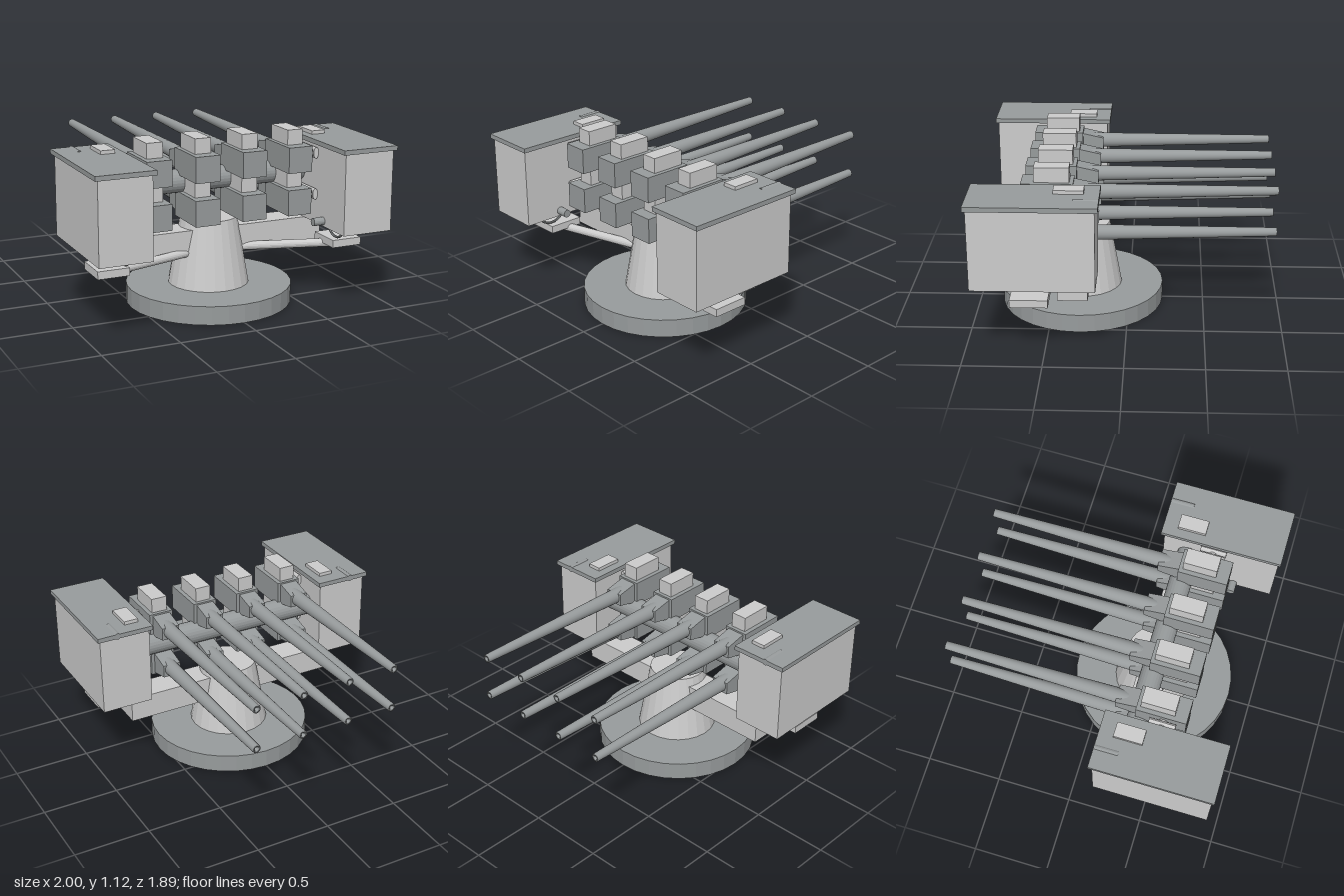
import * as THREE from 'three';

const light = new THREE.MeshStandardMaterial({ color: 0xcccccc, flatShading: true });
const dark = new THREE.MeshStandardMaterial({ color: 0x979b9c, flatShading: true });
const darkSmooth = new THREE.MeshStandardMaterial({ color: 0x979b9c });

export function createModel() {
  const root = new THREE.Group();

  const add = (name, geometry, material, parent = root) => {
    const mesh = new THREE.Mesh(geometry, material);
    mesh.name = name;
    parent.add(mesh);
    return mesh;
  };
  // Box given by its extents on each axis
  const box = (name, [x0, x1], [y0, y1], [z0, z1], material, parent) => {
    const mesh = add(name, new THREE.BoxGeometry(x1 - x0, y1 - y0, z1 - z0), material, parent);
    mesh.position.set((x0 + x1) / 2, (y0 + y1) / 2, (z0 + z1) / 2);
    return mesh;
  };
  // Round bar between two points
  const rod = (name, a, b, radius, material, parent, sides = 16) => {
    const from = new THREE.Vector3(...a), to = new THREE.Vector3(...b);
    const dir = to.clone().sub(from);
    const mesh = add(name, new THREE.CylinderGeometry(radius, radius, dir.length(), sides), material, parent);
    mesh.position.copy(from).add(to).multiplyScalar(0.5);
    mesh.quaternion.setFromUnitVectors(new THREE.Vector3(0, 1, 0), dir.normalize());
    return mesh;
  };

  // Round base and conical pedestal
  add('base', new THREE.CylinderGeometry(0.537, 0.537, 0.12, 32), dark).position.set(0, 0.06, 0.31);
  add('pedestal', new THREE.CylinderGeometry(0.185, 0.262, 0.44, 24), light).position.set(0, 0.34, 0.31);

  // Cross arm under the boxes and the trunnion shaft between them
  box('crossArm', [-0.76, 0.76], [0.335, 0.5], [0.23, 0.42], light);
  rod('trunnionShaft', [-0.65, 0.815, 0.345], [0.65, 0.815, 0.345], 0.075, dark, root, 24);

  // Tapered barrel with a bored muzzle, pointing backwards
  const barrelProfile = [[0, 0], [0.04, 0.004], [0.05, 0.025], [0.027, 1.225], [0.013, 1.225], [0.013, 1.16], [0, 1.16]]
    .map(([r, y]) => new THREE.Vector2(r, y));
  const barrelGeometry = new THREE.LatheGeometry(barrelProfile, 20).rotateX(-Math.PI / 2);

  // Wedge-shaped cradle narrowing in height toward the barrel
  const cradleGeometry = new THREE.BoxGeometry(0.12, 0.15, 0.15);
  const p = cradleGeometry.attributes.position;
  for (let i = 0; i < p.count; i++) if (p.getZ(i) < 0) p.setY(i, p.getY(i) * 0.55);
  cradleGeometry.computeVertexNormals();

  for (const x of [-0.48, -0.16, 0.16, 0.48]) {
    for (const y of [0.945, 0.67]) {
      const gun = new THREE.Group();
      gun.name = 'gun';
      gun.position.set(x, y, 0);
      root.add(gun);
      box('breech', [-0.082, 0.082], [-0.083, 0.083], [0.325, 0.65], dark, gun);
      box('feedBox', [-0.053, 0.053], [0.083, 0.18], [0.35, 0.57], light, gun);
      add('cradle', cradleGeometry, dark, gun).position.set(0, 0, 0.262);
      const barrel = add('barrel', barrelGeometry, darkSmooth, gun);
      barrel.position.set(0, 0.008, 0.285);
      barrel.rotation.x = 0.0155;
    }
  }

  // Side boxes with their fittings, mirrored left and right
  for (const s of [-1, 1]) {
    const side = new THREE.Group();
    side.name = s > 0 ? 'leftStation' : 'rightStation';
    root.add(side);
    const span = (a, b) => (s > 0 ? [a, b] : [-b, -a]);

    box('sideBox', span(0.64, 0.98), [0.5, 1.02], [0.17, 0.93], light, side);
    box('lid', span(0.62, 1), [1.02, 1.05], [0.15, 0.945], dark, side);
    box('lidBlock', span(0.68, 0.775), [1.05, 1.073], [0.245, 0.43], light, side);
    rod('lidHinge', [s * 0.864, 1.035, 0.15], [s * 0.864, 1.035, 0.305], 0.021, dark, side);

    // Footrest, its support tube and a hanging ring
    box('footrest', span(0.7, 0.905), [0.355, 0.405], [0.465, 0.7], light, side);
    rod('supportTube', [s * 0.12, 0.35, 0.375], [s * 0.81, 0.35, 0.575], 0.028, light, side);
    const ring = add('ringHandle', new THREE.TorusGeometry(0.112, 0.008, 8, 32), dark, side);
    ring.position.set(s * 0.73, 0.535, 0.68);
    ring.rotation.y = Math.PI / 2;

    // Axle stub and ribbed feed rollers on the inner face
    rod('axleStub', [s * 0.565, 0.535, 0.67], [s * 0.65, 0.535, 0.67], 0.026, dark, side);
    for (const y of [0.965, 0.695]) {
      for (const x of [0.585, 0.624]) {
        const roller = rod('feedRoller', [s * x, y, 0.42], [s * x, y, 0.59], 0.037, light, side);
        roller.scale.x = 0.48;
      }
      rod('feedPin', [s * 0.55, y, 0.505], [s * 0.65, y, 0.505], 0.025, light, side);
    }
  }

  return root;
}
